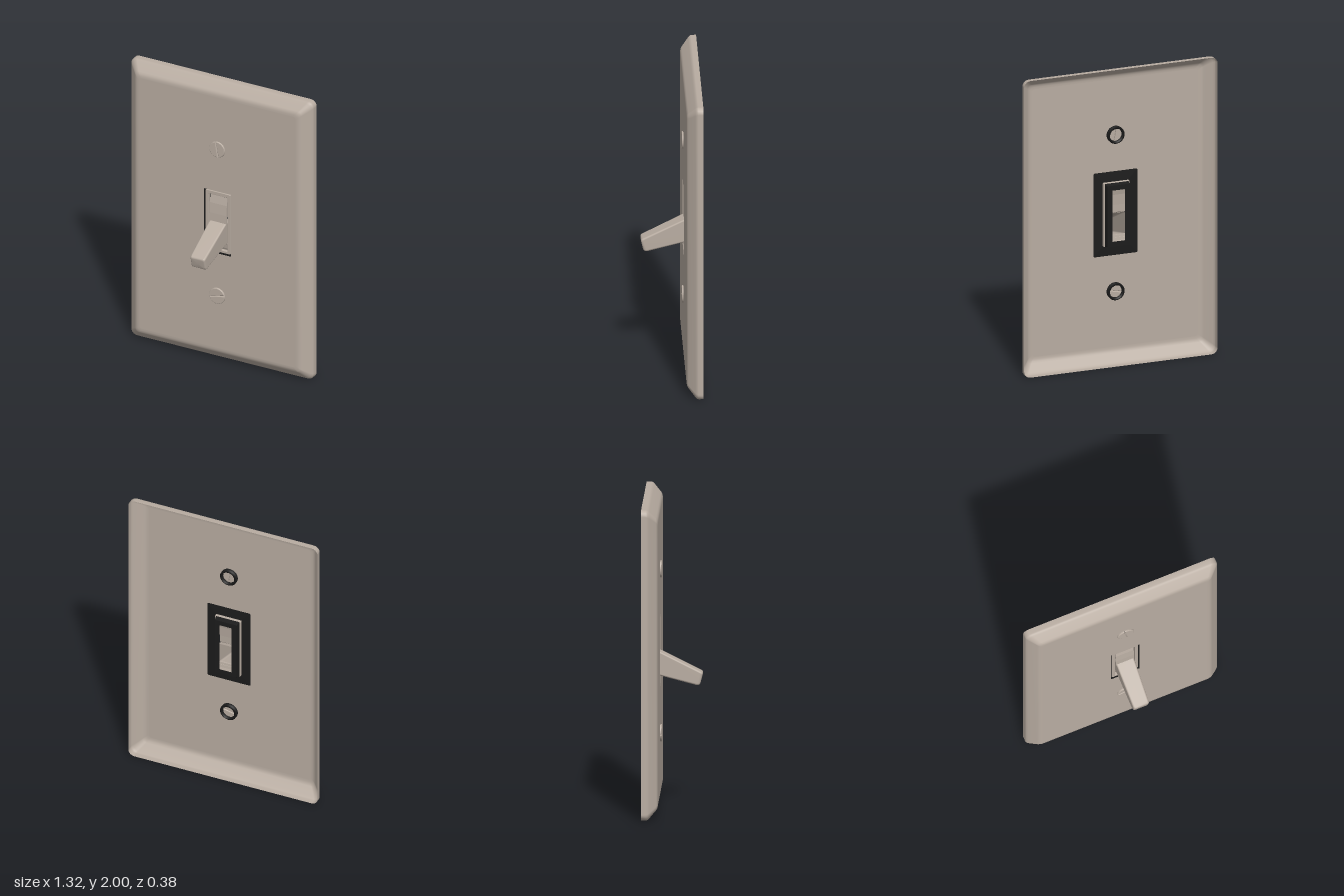
import * as THREE from 'three';

const ivory = new THREE.MeshStandardMaterial({ color: 0xb9ada2, side: THREE.DoubleSide });
ivory.name = 'warm grey plastic';
const black = new THREE.MeshStandardMaterial({ color: 0x1c1c1c, side: THREE.DoubleSide });
black.name = 'black insulation';

// rounded rectangle outline, counter-clockwise, fixed point count
function outline(w, h, r, cy = 0, seg = 5) {
  const pts = [];
  const corners = [[1, 1], [-1, 1], [-1, -1], [1, -1]];
  corners.forEach(([sx, sy], q) => {
    for (let i = 0; i <= seg; i++) {
      const a = (q + i / seg) * Math.PI / 2;
      pts.push(new THREE.Vector2(sx * (w / 2 - r) + r * Math.cos(a), cy + sy * (h / 2 - r) + r * Math.sin(a)));
    }
  });
  return pts;
}

// skin through rings of [width, height, radius, z, centreY, tilt], back to front
function loft(rings, cap = false) {
  const pos = [], idx = [];
  let n = 0;
  for (const [w, h, r, z, cy = 0, tilt = 0] of rings) {
    const pts = outline(w, h, r, cy);
    n = pts.length;
    for (const p of pts) pos.push(p.x, p.y, z + tilt * (p.y - cy));
  }
  for (let k = 0; k < rings.length - 1; k++) {
    for (let i = 0; i < n; i++) {
      const a = k * n + i, b = k * n + (i + 1) % n;
      idx.push(a, b, b + n, a, b + n, a + n);
    }
  }
  if (cap) {
    const [, , , z, cy = 0] = rings[rings.length - 1];
    const c = pos.length / 3, o = (rings.length - 1) * n;
    pos.push(0, cy, z);
    for (let i = 0; i < n; i++) idx.push(o + i, o + (i + 1) % n, c);
  }
  const g = new THREE.BufferGeometry();
  g.setAttribute('position', new THREE.Float32BufferAttribute(pos, 3));
  g.setIndex(idx);
  g.computeVertexNormals();
  return g;
}

function add(parent, name, geometry, material) {
  const m = new THREE.Mesh(geometry, material);
  m.name = name;
  parent.add(m);
  return m;
}

const FRONT = -0.085, BACK = -0.19, MID = 1.0025;
const SCREWS = [[1.53, 1.74], [0.475, 0.22]]; // height, slot angle

function createScrew(y, angle) {
  const screw = new THREE.Group();
  screw.name = 'screw';
  // domed head as two halves either side of the slot
  const R = 0.057, gap = 0.006, a0 = Math.asin(gap / R);
  for (const side of [0, 1]) {
    const s = new THREE.Shape();
    s.absarc(0, 0, R - 0.005, a0, Math.PI - a0, false);
    s.closePath();
    const g = new THREE.ExtrudeGeometry(s, { depth: 0.006, bevelThickness: 0.006, bevelSize: 0.005, bevelOffset: -0.001, bevelSegments: 3, curveSegments: 20 });
    const half = add(screw, 'screwHeadHalf', g, ivory);
    half.rotation.z = angle + side * Math.PI;
    half.position.z = FRONT - 0.002;
  }
  const floor = add(screw, 'slotFloor', new THREE.CircleGeometry(R - 0.004, 28), ivory);
  floor.position.z = FRONT + 0.002;
  // dark countersunk collar behind the plate
  const collar = [[0.058, 0.012], [0.058, -0.008], [0.044, -0.014], [0.042, 0.006]].map(p => new THREE.Vector2(...p));
  const ring = add(screw, 'screwCollar', new THREE.LatheGeometry(collar, 28), black);
  ring.rotation.x = Math.PI / 2;
  ring.position.z = FRONT - 0.014;
  screw.position.y = y;
  return screw;
}

export function createModel() {
  const model = new THREE.Group();
  model.name = 'lightSwitch';

  // hollow wall plate: bevelled rim and pierced face
  const plate = new THREE.Group();
  plate.name = 'wallPlate';
  model.add(plate);
  const profile = [[0, BACK], [0, -0.158], [0.004, -0.148], [0.013, -0.138], [0.058, -0.097],
    [0.070, -0.089], [0.084, -0.0855], [0.098, FRONT]];
  add(plate, 'plateRim', loft(profile.map(([d, z]) => [1.324 - 2 * d, 2 - 2 * d, 0.042 - d * 0.25, z, 1])), ivory);
  const face = new THREE.Shape(outline(1.324 - 0.196, 2 - 0.196, 0.0175, 1));
  face.holes.push(new THREE.Path(outline(0.196, 0.446, 0.004, MID)));
  for (const [y] of SCREWS) face.holes.push(new THREE.Path().absarc(0, y, 0.054, 0, Math.PI * 2, true));
  const faceMesh = add(plate, 'plateFace', new THREE.ShapeGeometry(face, 20), ivory);
  faceMesh.position.z = FRONT;

  for (const [y, angle] of SCREWS) model.add(createScrew(y, angle));

  // black backing flange with a sleeve toward the wall
  add(model, 'backingFrame', loft([[0.085, 0.345, 0.003, -0.15, MID], [0.15, 0.41, 0.003, -0.15, MID],
    [0.17, 0.43, 0.003, -0.1, MID], [0.3, 0.565, 0.008, -0.096, MID]]).toNonIndexed(), black)
    .geometry.computeVertexNormals();

  // bezel around the toggle
  const bezel = new THREE.Shape(outline(0.174, 0.424, 0.004, MID));
  bezel.holes.push(new THREE.Path(outline(0.144, 0.392, 0.004, MID - 0.004)));
  const bezelMesh = add(model, 'toggleBezel',
    new THREE.ExtrudeGeometry(bezel, { depth: 0.02, bevelThickness: 0.003, bevelSize: 0.003 }), ivory);
  bezelMesh.position.z = -0.114;

  // toggle: tapered hollow lever tilted down, with rocker skirts above and below
  const toggle = new THREE.Group();
  toggle.name = 'toggle';
  model.add(toggle);
  add(toggle, 'lever', loft([
    [0.124, 0.172, 0.008, -0.125, 0.931, -0.1],
    [0.120, 0.148, 0.010, -0.085, 0.926, 0.1],
    [0.108, 0.088, 0.012, 0.160, 0.832, 0.3],
    [0.105, 0.084, 0.013, 0.170, 0.829, 0.3],
    [0.098, 0.074, 0.012, 0.176, 0.828, 0.27],
    [0.084, 0.060, 0.010, 0.179, 0.828, 0.25],
  ], true), ivory);
  const skirt = (name, pts) => {
    const s = new THREE.Shape(pts.map(p => new THREE.Vector2(...p)));
    const g = new THREE.ExtrudeGeometry(s, { depth: 0.124, bevelEnabled: false });
    g.rotateY(-Math.PI / 2); // profile is drawn as (z, y)
    g.translate(0.062, 0, 0);
    add(toggle, name, g, ivory);
  };
  skirt('upperSkirt', [[-0.088, 0.995], [-0.09, 1.06], [-0.096, 1.13], [-0.108, 1.185], [-0.12, 1.185], [-0.108, 1.13], [-0.102, 1.06], [-0.1, 1.01]]);
  skirt('lowerSkirt', [[-0.1, 0.86], [-0.106, 0.82], [-0.118, 0.79], [-0.13, 0.79], [-0.118, 0.825], [-0.112, 0.86]]);

  return model;
}
